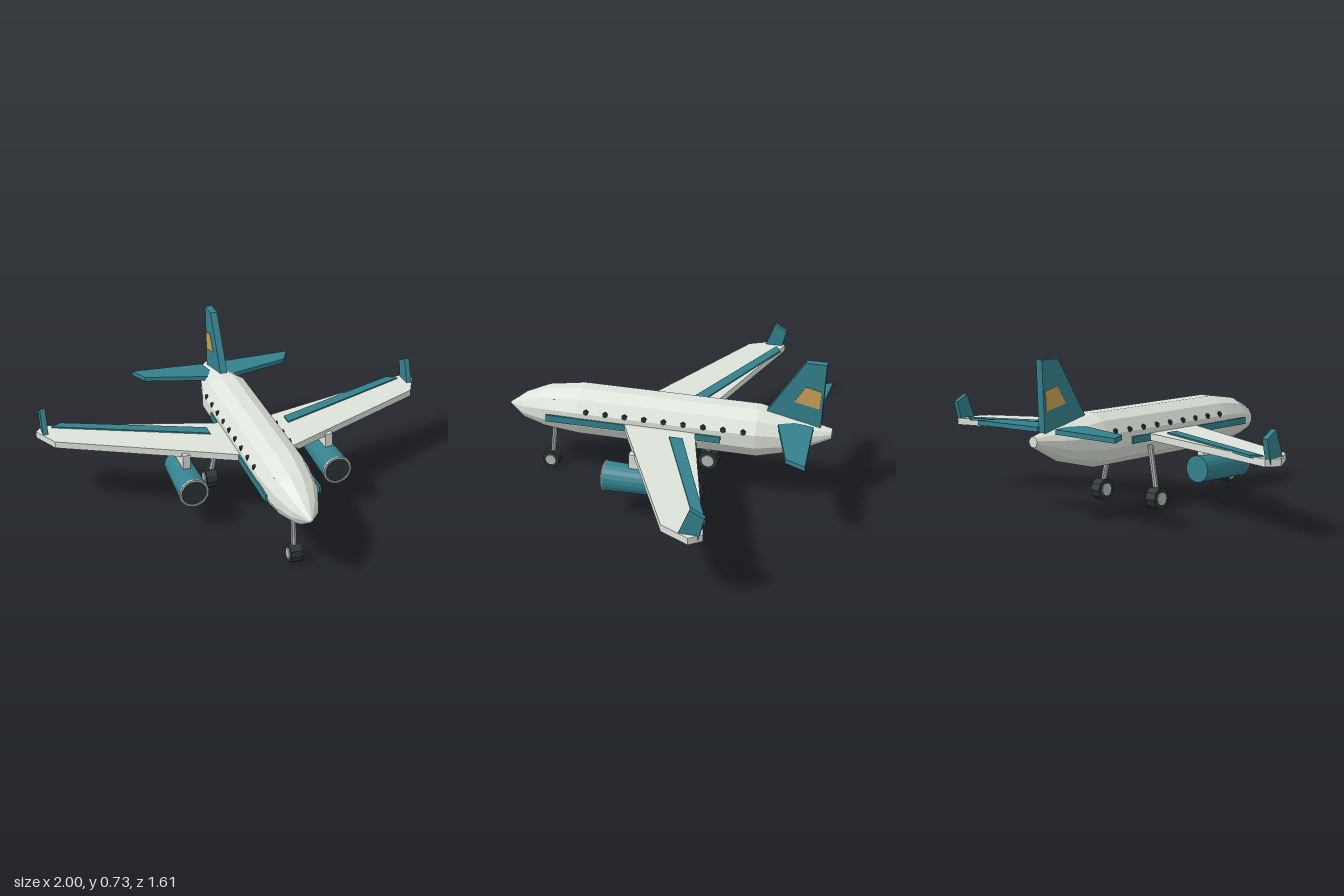
import * as THREE from 'three';

const mat = (color) => new THREE.MeshStandardMaterial({ color, flatShading: true });

export function createModel() {
  const plane = new THREE.Group();
  plane.name = 'airliner';
  const body = mat(0xdde3da), teal = mat(0x34818d), dark = mat(0x2b3336);
  const metal = mat(0xb2b9b3), gold = mat(0xc8a055);

  const add = (name, geometry, material, x = 0, y = 0, z = 0) => {
    const mesh = new THREE.Mesh(geometry, material);
    mesh.name = name;
    mesh.position.set(x, y, z);
    plane.add(mesh);
    return mesh;
  };
  const extrude = (pts, depth) => new THREE.ExtrudeGeometry(
    new THREE.Shape(pts.map((p) => new THREE.Vector2(...p))), { depth, bevelEnabled: false });
  // Horizontal slab from [x, z] corners, mirrored by side
  const flatSlab = (pts, side, y0, y1) =>
    extrude(pts.map(([x, z]) => [x * side, -z]), y1 - y0).rotateX(-Math.PI / 2).translate(0, y0, 0);
  // Upright slab from [z, y] corners, centred on x
  const uprightSlab = (pts, thickness) =>
    extrude(pts, thickness).translate(0, 0, -thickness / 2).rotateY(-Math.PI / 2);
  // Round bar between two points
  const bar = (name, from, to, radius) => {
    const a = new THREE.Vector3(...from), b = new THREE.Vector3(...to);
    const dir = b.clone().sub(a);
    const mesh = add(name, new THREE.CylinderGeometry(radius, radius, dir.length(), 8), metal);
    mesh.position.copy(a).add(b).multiplyScalar(0.5);
    mesh.quaternion.setFromUnitVectors(new THREE.Vector3(0, 1, 0), dir.normalize());
  };
  // Disc or wheel with its axis along x
  const axle = (r, width, sides) =>
    new THREE.CylinderGeometry(r, r, width, sides).rotateZ(Math.PI / 2);

  // Fuselage: twelve-sided rings [z, centre y, radius], nose to tail
  const rings = [[0.805, 0.328, 0.004], [0.72, 0.33, 0.066], [0.6, 0.341, 0.108], [0.42, 0.347, 0.13],
    [-0.46, 0.347, 0.13], [-0.64, 0.349, 0.086], [-0.805, 0.375, 0.025]];
  const sides = 12, pos = [], index = [];
  for (const [z, cy, r] of rings) {
    for (let i = 0; i < sides; i++) {
      const a = (i + 0.5) / sides * Math.PI * 2;
      pos.push(Math.cos(a) * r, cy + Math.sin(a) * r, z);
    }
  }
  for (let k = 0; k < rings.length - 1; k++) {
    for (let i = 0; i < sides; i++) {
      const j = (i + 1) % sides, a = k * sides, b = a + sides;
      index.push(a + i, b + i, a + j, a + j, b + i, b + j);
    }
  }
  const last = (rings.length - 1) * sides;
  for (let i = 1; i < sides - 1; i++) {
    index.push(0, i, i + 1, last, last + i + 1, last + i);
  }
  const hull = new THREE.BufferGeometry();
  hull.setAttribute('position', new THREE.Float32BufferAttribute(pos, 3));
  hull.setIndex(index);
  hull.computeVertexNormals();
  add('fuselage', hull, body);

  // Vertical tail with a gold panel on both faces
  add('tailFin', uprightSlab([[-0.487, 0.455], [-0.75, 0.40], [-0.763, 0.733], [-0.664, 0.733]], 0.036), teal);
  add('finPanel', uprightSlab([[-0.62, 0.53], [-0.741, 0.504], [-0.746, 0.595], [-0.672, 0.612]], 0.042), gold);

  // Nose gear
  bar('noseStrut', [0, 0.26, 0.572], [0, 0.045, 0.595], 0.013);
  add('noseWheel', axle(0.044, 0.056, 10), dark, 0, 0.044, 0.597);
  add('noseHub', axle(0.027, 0.068, 10), metal, 0, 0.044, 0.597);

  for (const side of [1, -1]) {
    const s = side > 0 ? 'left' : 'right';

    // Swept wing, trailing flap and winglet
    add(s + 'Wing', flatSlab([[0.06, 0.21], [0.93, -0.22], [1.0, -0.355], [0.957, -0.41], [0.06, -0.152]],
      side, 0.322, 0.355), body);
    add(s + 'Flap', flatSlab([[0.2, -0.065], [0.92, -0.37], [0.87, -0.4], [0.2, -0.13]], side, 0.35, 0.362), teal);
    add(s + 'Winglet', uprightSlab([[-0.306, 0.355], [-0.39, 0.328], [-0.418, 0.44], [-0.353, 0.474]], 0.026),
      teal, side * 0.96);

    // Tailplane
    add(s + 'Tailplane', flatSlab([[0.06, -0.555], [0.38, -0.647], [0.428, -0.743], [0.055, -0.722],
      [0.035, -0.63]], side, 0.405, 0.427), teal);

    // Side stripe, cabin windows and cockpit window
    add(s + 'Stripe', new THREE.BoxGeometry(0.01, 0.034, 0.87), teal, side * 0.128, 0.337, 0.14);
    for (let i = 0; i < 9; i++) {
      add(s + 'Window' + (i + 1), axle(0.014, 0.02, 6).rotateX(Math.PI / 2), dark,
        side * 0.116, 0.388, 0.371 - i * 0.0967);
    }
    add(s + 'CockpitWindow', new THREE.BoxGeometry(0.008, 0.008, 0.008), dark, side * 0.08, 0.417, 0.545);

    // Engine pod hung from a pylon
    const ex = side * 0.36, ey = 0.203;
    add(s + 'Pylon', new THREE.BoxGeometry(0.036, 0.08, 0.165), metal, ex, 0.3, 0).material = body;
    add(s + 'Engine', new THREE.CylinderGeometry(0.072, 0.063, 0.31, 20).rotateX(Math.PI / 2), teal, ex, ey, 0.047);
    add(s + 'EngineLip', new THREE.TorusGeometry(0.066, 0.008, 6, 20), metal, ex, ey, 0.201);
    add(s + 'EngineIntake', new THREE.CylinderGeometry(0.06, 0.06, 0.01, 20).rotateX(Math.PI / 2), dark, ex, ey, 0.2);

    // Main gear
    bar(s + 'MainStrut', [side * 0.125, 0.3, -0.165], [side * 0.175, 0.055, -0.175], 0.014);
    add(s + 'MainWheel', axle(0.053, 0.056, 10), dark, side * 0.175, 0.053, -0.175);
    add(s + 'MainHub', axle(0.032, 0.068, 10), metal, side * 0.175, 0.053, -0.175);
  }
  return plane;
}
